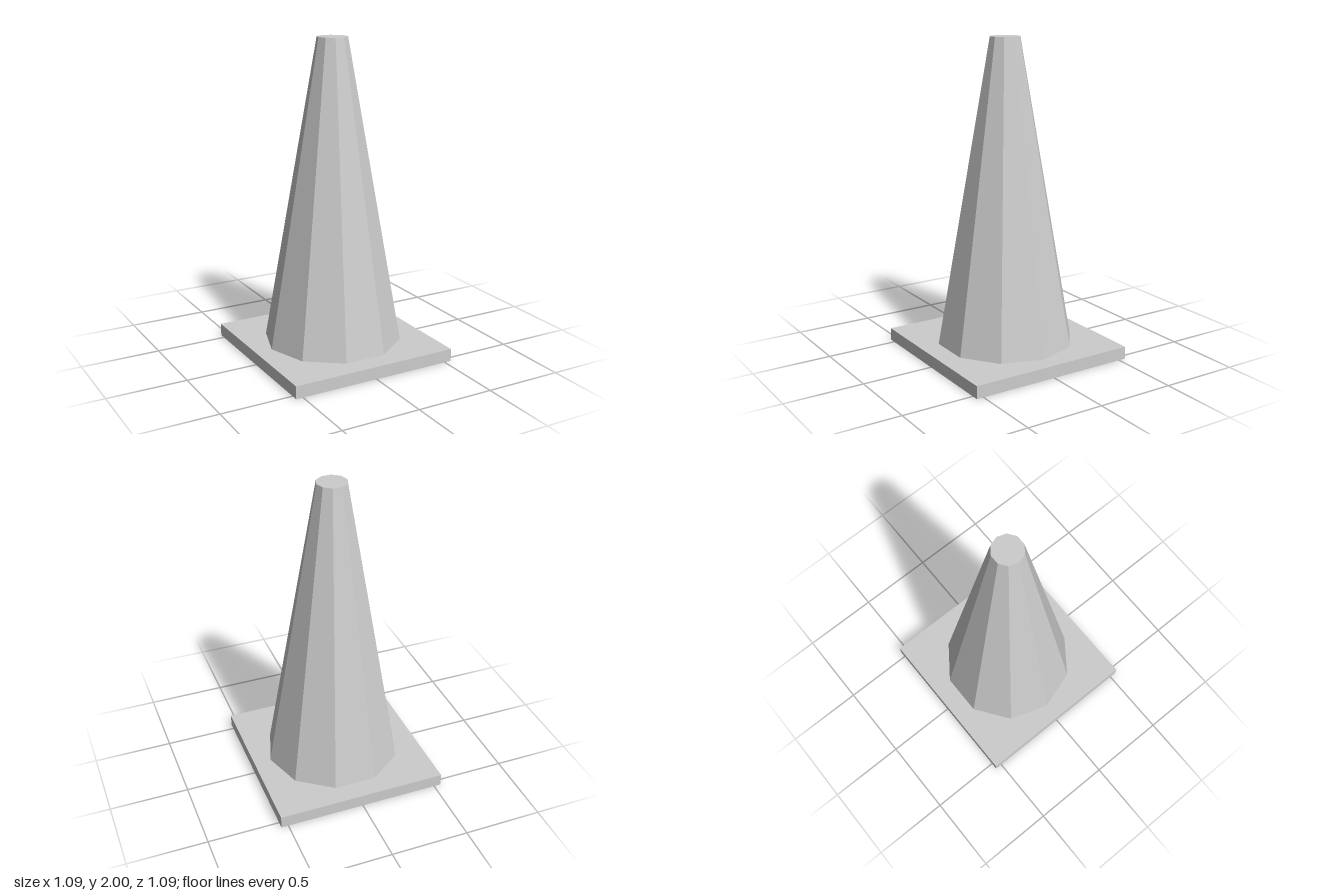
import * as THREE from 'three';

export function createModel() {
  const model = new THREE.Group();
  model.name = 'trafficCone';

  const grey = new THREE.MeshStandardMaterial({ color: 0xcccccc, flatShading: true });
  grey.name = 'light grey';

  const baseHeight = 0.08;
  const coneHeight = 2 - baseHeight;

  // Square foot plate
  const base = new THREE.Mesh(new THREE.BoxGeometry(1.09, baseHeight, 1.09), grey);
  base.name = 'basePlate';
  base.position.y = baseHeight / 2;

  // Ten-sided tapered body with a flat top, corners on the x axis
  const cone = new THREE.Mesh(
    new THREE.CylinderGeometry(0.095, 0.435, coneHeight, 10, 1, false, Math.PI / 2),
    grey
  );
  cone.name = 'coneBody';
  cone.position.y = baseHeight + coneHeight / 2;

  model.add(base, cone);
  return model;
}
